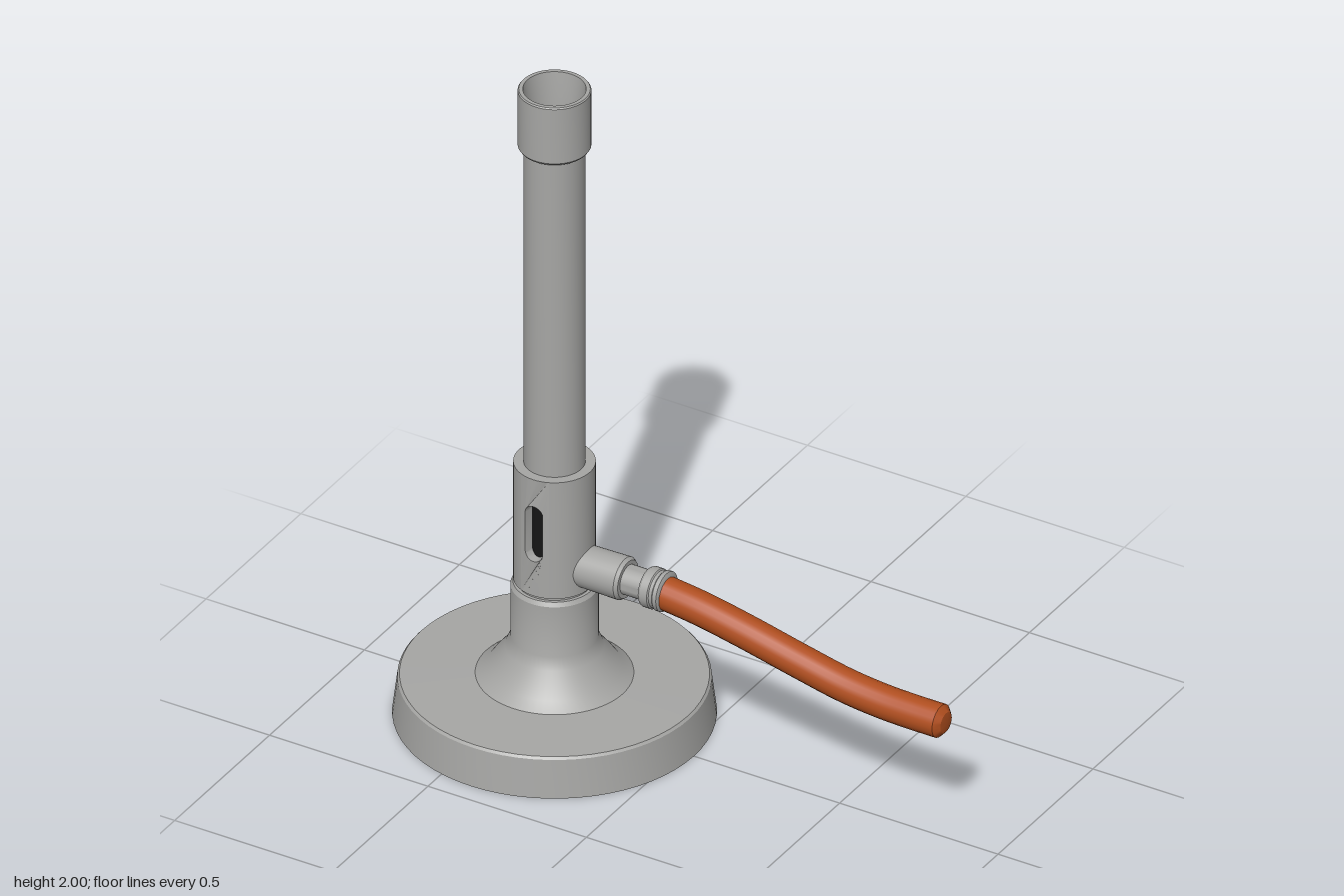
import * as THREE from 'three';
import { toCreasedNormals } from 'three/addons/utils/BufferGeometryUtils.js';

const metal = new THREE.MeshStandardMaterial({ color: 0xa6a6a4 });
metal.name = 'grey metal';
const rubber = new THREE.MeshStandardMaterial({ color: 0xb04e1e });
rubber.name = 'orange rubber';
const black = new THREE.MeshStandardMaterial({ color: 0x161616 });
black.name = 'black interior';

const AXIS = -0.4; // x of the burner's upright axis

function add(parent, name, geometry, material) {
  const mesh = new THREE.Mesh(geometry, material);
  mesh.name = name;
  parent.add(mesh);
  return mesh;
}

// Turned part from [radius, height] pairs, with crisp edges
function turned(points, segments = 48, start = 0, sweep = Math.PI * 2) {
  const profile = points.map(([r, y]) => new THREE.Vector2(r, y));
  return toCreasedNormals(new THREE.LatheGeometry(profile, segments, start, sweep), 0.5);
}

// Curved wall panel with a rounded upright slot, bent around the y axis
function slottedPanel(inner, outer, y0, y1, half) {
  const w = half * outer, n = 12, s = new THREE.Shape();
  s.moveTo(-w, y0);
  for (let i = 1; i <= n; i++) s.lineTo(-w + (2 * w * i) / n, y0);
  for (let i = 0; i <= n; i++) s.lineTo(w - (2 * w * i) / n, y1);
  const hole = new THREE.Path(), r = 0.028;
  hole.absarc(0, 0.69, r, 0, Math.PI, false);
  hole.absarc(0, 0.57, r, Math.PI, Math.PI * 2, false);
  s.holes.push(hole);
  const g = new THREE.ExtrudeGeometry(s, { depth: outer - inner, bevelEnabled: false, curveSegments: 10 });
  const p = g.attributes.position;
  for (let i = 0; i < p.count; i++) {
    const a = p.getX(i) / outer, rad = inner + p.getZ(i);
    p.setXYZ(i, rad * Math.sin(a), p.getY(i), rad * Math.cos(a));
  }
  return toCreasedNormals(g, 0.5);
}

export function createModel() {
  const model = new THREE.Group();
  model.name = 'gasBurner';
  const burner = new THREE.Group();
  burner.name = 'burner';
  burner.position.x = AXIS;
  model.add(burner);

  // Hollow foot with a flared neck
  add(burner, 'base', turned([
    [0, 0.08], [0.405, 0.08], [0.42, 0], [0.44, 0], [0.426, 0.115], [0.42, 0.122],
    [0.215, 0.126], [0.185, 0.15], [0.135, 0.215], [0.12, 0.25], [0.12, 0.41], [0.113, 0.422], [0, 0.422],
  ], 64), metal);
  add(burner, 'neckJoint', new THREE.CylinderGeometry(0.104, 0.104, 0.03, 48), metal);
  burner.children[1].position.y = 0.425;

  // Air collar: two solid sides plus slotted panels front and back
  const collar = new THREE.Group();
  collar.name = 'airCollar';
  burner.add(collar);
  const rIn = 0.084, rOut = 0.112, y0 = 0.432, y1 = 0.805, half = 0.4;
  const wall = [[rIn, y0], [rOut, y0], [rOut, y1], [rIn, y1], [rIn, y0]];
  for (const turn of [0, Math.PI]) {
    add(collar, 'collarSide', turned(wall, 24, turn + half, Math.PI - 2 * half), metal);
    add(collar, 'slottedPanel', slottedPanel(rIn, rOut, y0, y1, half), metal).rotation.y = turn;
  }
  const core = add(burner, 'darkCore', new THREE.CylinderGeometry(0.078, 0.078, 0.34, 32), black);
  core.position.y = 0.615;

  // Open barrel and wider mouth
  add(burner, 'barrel', turned([
    [0.052, 0.79], [0.084, 0.79], [0.084, 1.83], [0.07, 1.83], [0.07, 0.86], [0.052, 0.84], [0.052, 0.78],
  ]), metal);
  add(burner, 'mouth', turned([
    [0.07, 1.815], [0.095, 1.815], [0.1, 1.822], [0.1, 1.996], [0.097, 2],
    [0.086, 2], [0.08, 1.95], [0.07, 1.83], [0.07, 1.815],
  ]), metal);

  // Gas inlet: lathe profile laid along +x
  const inlet = add(model, 'gasInlet', turned([
    [0, -0.31], [0.06, -0.31], [0.062, -0.178], [0.055, -0.168], [0.043, -0.168], [0.043, -0.105],
    [0.054, -0.105], [0.058, -0.098], [0.058, -0.075], [0.054, -0.072], [0.054, -0.062],
    [0.058, -0.058], [0.058, -0.046], [0.05, -0.042], [0, -0.042],
  ], 32), metal);
  inlet.rotation.z = -Math.PI / 2;
  inlet.position.y = 0.5;

  // Drooping hose with a chamfered end
  const path = new THREE.CatmullRomCurve3([
    [-0.06, 0.497], [0.06, 0.482], [0.2, 0.455], [0.38, 0.414], [0.52, 0.385], [0.64, 0.372], [0.74, 0.369], [0.82, 0.369],
  ].map(([x, y]) => new THREE.Vector3(x, y, 0)));
  add(model, 'hose', new THREE.TubeGeometry(path, 48, 0.048, 20), rubber);
  const tip = add(model, 'hoseTip', turned([[0.048, 0], [0.03, 0.016], [0, 0.02]], 20), rubber);
  tip.rotation.z = -Math.PI / 2;
  tip.position.set(0.82, 0.369, 0);

  return model;
}
